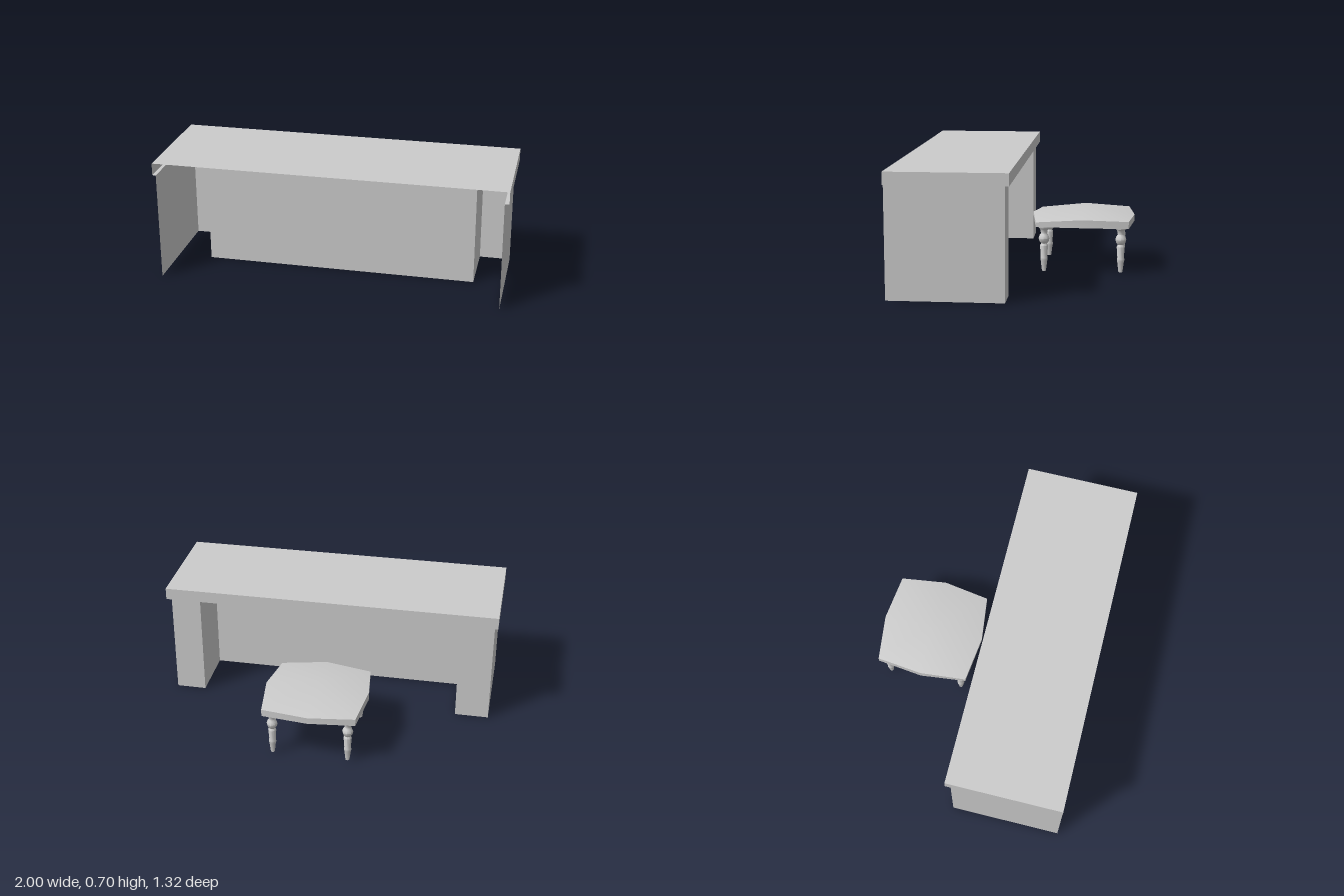
import * as THREE from 'three';
import { toCreasedNormals } from 'three/addons/utils/BufferGeometryUtils.js';

const grey = new THREE.MeshStandardMaterial({ color: 0xcccccc, side: THREE.DoubleSide });

function mesh(name, geometry) {
  const m = new THREE.Mesh(geometry, grey);
  m.name = name;
  return m;
}

function trianglesToGeometry(tris) {
  const g = new THREE.BufferGeometry();
  g.setAttribute('position', new THREE.Float32BufferAttribute(tris.flat(2), 3));
  g.computeVertexNormals();
  return g;
}

// Thin flat panel from four corners
function panel(name, a, b, c, d) {
  return mesh(name, trianglesToGeometry([[a, b, c], [a, c, d]]));
}

// Upright panel between two floor points
function wall(name, [x0, z0], [x1, z1], y0, y1) {
  return panel(name, [x0, y0, z0], [x1, y0, z1], [x1, y1, z1], [x0, y1, z0]);
}

// Level panel facing up (or down)
function level(name, x0, x1, z0, z1, y, down = false) {
  const p = [[x0, y, z1], [x1, y, z1], [x1, y, z0], [x0, y, z0]];
  return panel(name, ...(down ? p.reverse() : p));
}

function createDesk() {
  const desk = new THREE.Group();
  desk.name = 'desk';
  const front = 0.66, back = -0.01, wallBack = 0.015, kneeZ = 0.36;
  const top = 0.7, under = 0.63;
  const xR = -0.98, xL = 0.975, kneeR = -0.78, kneeL = 0.797;

  // Hollow desktop, open at the front
  desk.add(
    level('desktop', -1, 1, back, front, top),
    wall('desktopBackEdge', [1, back], [-1, back], under, top),
    wall('desktopLeftEdge', [1, front], [1, back], under, top),
    wall('desktopRightEdge', [-1, back], [-1, front], under, top),
    level('backOverhang', -1, 1, back, wallBack, under, true),
    level('leftOverhang', xL, 1, wallBack, front, under, true),
    level('rightOverhang', -1, xR, wallBack, front, under, true),
    level('kneeSpaceCeiling', kneeR, kneeL, wallBack, kneeZ, under, true)
  );

  // Side walls, pedestals and the panel behind the knee space
  desk.add(
    wall('leftSide', [xL, front], [xL, wallBack], 0, under),
    wall('leftPedestalBack', [xL, wallBack], [kneeL, wallBack], 0, under),
    wall('leftPedestalInside', [kneeL, wallBack], [kneeL, kneeZ], 0, under),
    wall('modestyPanel', [kneeL, kneeZ], [kneeR, kneeZ], 0, under),
    wall('rightPedestalInside', [kneeR, kneeZ], [kneeR, wallBack], 0, under),
    wall('rightPedestalBack', [kneeR, wallBack], [xR, wallBack], 0, under),
    wall('rightSide', [xR, wallBack], [xR, front], 0, under)
  );
  return desk;
}

function createStool() {
  const stool = new THREE.Group();
  stool.name = 'stool';
  stool.position.z = -0.358;

  // Domed eight-sided cushion: x, z, upper y, lower y around the rim
  const rim = [
    [0.303, 0, 0.33, 0.283], [0.27, 0.27, 0.307, 0.279],
    [0, 0.305, 0.323, 0.3], [-0.27, 0.27, 0.307, 0.279],
    [-0.303, 0, 0.33, 0.283], [-0.27, -0.27, 0.318, 0.276],
    [0, -0.303, 0.316, 0.279], [0.27, -0.27, 0.318, 0.276]
  ];
  const upper = rim.map(([x, z, y]) => [x, y, z]);
  const lower = rim.map(([x, z, , y]) => [x, y, z]);
  const crown = [0, 0.367, 0], base = [0, 0.295, 0];
  const tris = [];
  for (let i = 0; i < rim.length; i++) {
    const j = (i + 1) % rim.length;
    tris.push(
      [crown, upper[j], upper[i]], [base, lower[i], lower[j]],
      [lower[i], upper[i], upper[j]], [lower[i], upper[j], lower[j]]
    );
  }
  stool.add(mesh('seat', toCreasedNormals(trianglesToGeometry(tris), 0.6)));

  // Turned legs
  const profile = [
    [0, 0.01], [0.012, 0.01], [0.019, 0.068], [0.022, 0.08], [0.022, 0.09],
    [0.019, 0.097], [0.024, 0.162], [0.017, 0.174], [0.027, 0.185],
    [0.032, 0.205], [0.026, 0.224], [0.018, 0.234], [0.023, 0.26],
    [0.032, 0.267], [0.032, 0.285]
  ].map(([r, y]) => new THREE.Vector2(r, y));
  const leg = toCreasedNormals(new THREE.LatheGeometry(profile, 8), 0.9);
  for (const sx of [1, -1]) {
    for (const sz of [1, -1]) {
      const m = mesh((sz > 0 ? 'front' : 'back') + (sx > 0 ? 'Left' : 'Right') + 'Leg', leg);
      m.position.set(sx * 0.22, 0, sz * 0.225);
      stool.add(m);
    }
  }
  return stool;
}

export function createModel() {
  const model = new THREE.Group();
  model.name = 'deskAndStool';
  model.add(createDesk(), createStool());
  return model;
}
